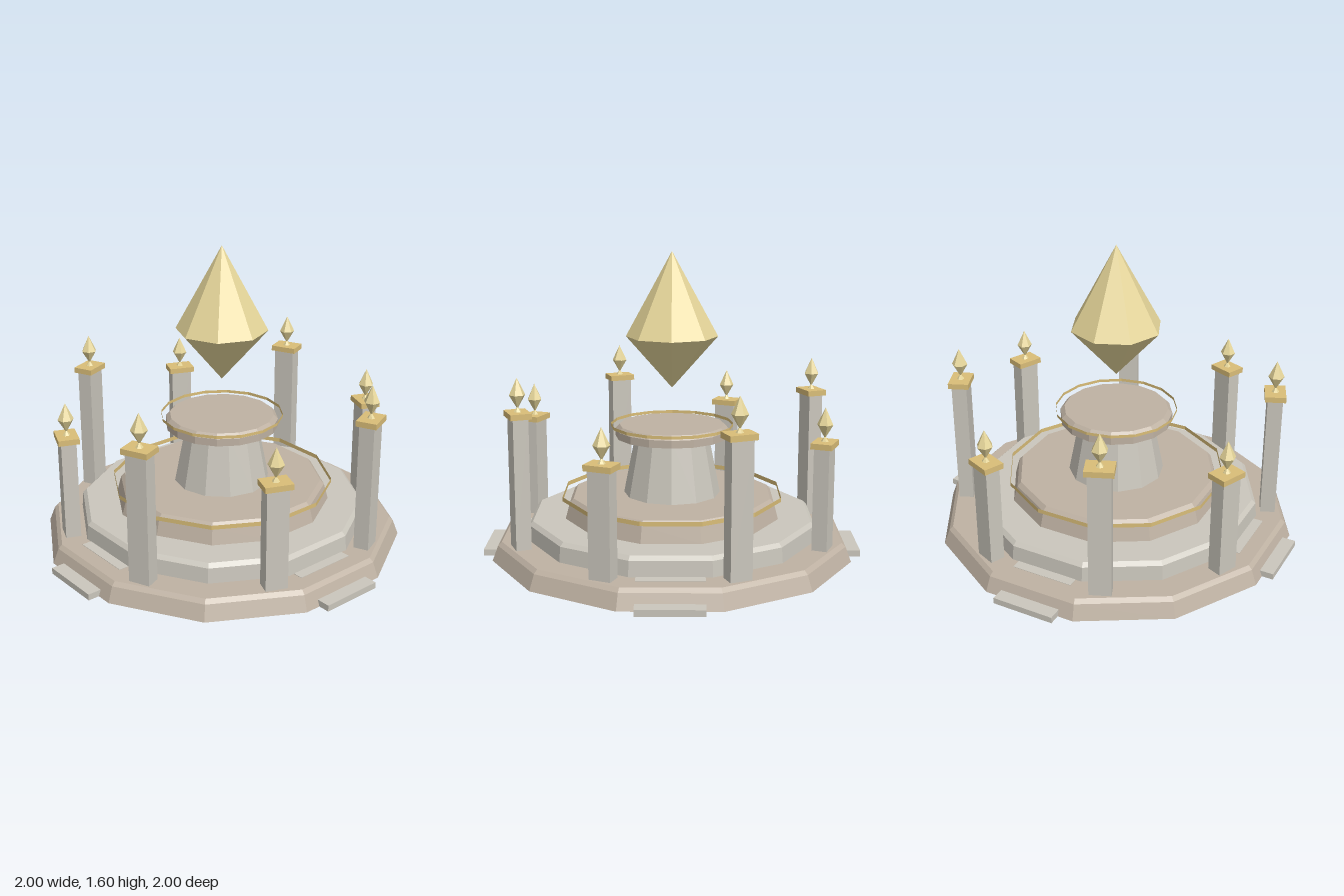
import * as THREE from 'three';

const flat = (color, side = THREE.FrontSide) =>
  new THREE.MeshStandardMaterial({ color, side, flatShading: true });

export function createModel() {
  const model = new THREE.Group();
  const sand = flat(0xbfb2a3);
  const stone = flat(0xcac6bc);
  const gold = flat(0xd9bd78);
  const goldBand = flat(0xd9bd78, THREE.DoubleSide);
  const crystal = flat(0xe6d69a);

  const add = (parent, name, geometry, material, x = 0, y = 0, z = 0) => {
    const mesh = new THREE.Mesh(geometry, material);
    mesh.name = name;
    mesh.position.set(x, y, z);
    parent.add(mesh);
    return mesh;
  };

  // Closed solid turned from [radius, height] pairs, listed bottom to top
  const turned = (profile, sides, turn = 0) =>
    new THREE.LatheGeometry(profile.map(([r, y]) => new THREE.Vector2(r, y)), sides, turn);

  // Twelve-sided tiers with flat sides to the front; widths are across the flats
  const tier = (name, profile, material) => {
    const corners = profile.map(([w, y]) => [w / Math.cos(Math.PI / 12), y]);
    const [first, last] = [corners[0], corners[corners.length - 1]];
    add(model, name, turned([[0, first[1]], ...corners, [0, last[1]]], 12, Math.PI / 12), material);
  };
  tier('lowerTier', [[0.94, 0], [0.91, 0.08], [0.89, 0.1]], sand);
  tier('middleTier', [[0.757, 0.1], [0.75, 0.18], [0.73, 0.2]], stone);
  tier('upperTier', [[0.562, 0.2], [0.54, 0.285], [0.52, 0.308]], sand);

  // Pedestal and its capital
  add(model, 'pedestal', turned([[0, 0.3], [0.26, 0.3], [0.195, 0.63], [0, 0.63]], 12), stone);
  add(model, 'capital',
    turned([[0, 0.62], [0.302, 0.62], [0.302, 0.66], [0.28, 0.683], [0, 0.683]], 16), sand);

  // Thin open bands
  const band = (name, radius, height, sides, y, turn) => add(model, name,
    new THREE.CylinderGeometry(radius, radius, height, sides, 1, true, turn), goldBand, 0, y, 0);
  band('tierBand', 0.597, 0.023, 12, 0.308, Math.PI / 12);
  band('capitalBand', 0.327, 0.016, 16, 0.681, 0);

  // Floating crystal
  add(model, 'crystal', turned([[0, 0.88], [0.243, 1.155], [0, 1.6]], 8), crystal);

  // Steps on the four sides
  for (let i = 0; i < 4; i++) {
    const steps = new THREE.Group();
    steps.name = 'steps';
    steps.rotation.y = i * Math.PI / 2;
    add(steps, 'lowerStep', new THREE.BoxGeometry(0.336, 0.033, 0.2), stone, 0, 0.0165, 0.9);
    add(steps, 'upperStep', new THREE.BoxGeometry(0.336, 0.033, 0.2), stone, 0, 0.0855, 0.71);
    model.add(steps);
  }

  // Ring of eight pillars, alternately tall and short
  for (let i = 0; i < 8; i++) {
    const top = i % 2 === 0 ? 0.785 : 0.635;
    const pillar = new THREE.Group();
    pillar.name = 'pillar';
    pillar.rotation.y = (i + 0.5) * Math.PI / 4;
    add(pillar, 'shaft', new THREE.BoxGeometry(0.115, top - 0.09, 0.08), stone,
      0, (top + 0.09) / 2, 0.84);
    add(pillar, 'cap', new THREE.BoxGeometry(0.145, 0.03, 0.11), gold, 0, top + 0.015, 0.84);
    add(pillar, 'finialFoot', new THREE.ConeGeometry(0.02, 0.03, 6), crystal, 0, top + 0.045, 0.84);
    add(pillar, 'finial', turned([[0, 0.045], [0.042, 0.117], [0, 0.205]], 6), crystal, 0, top, 0.84);
    model.add(pillar);
  }
  return model;
}
